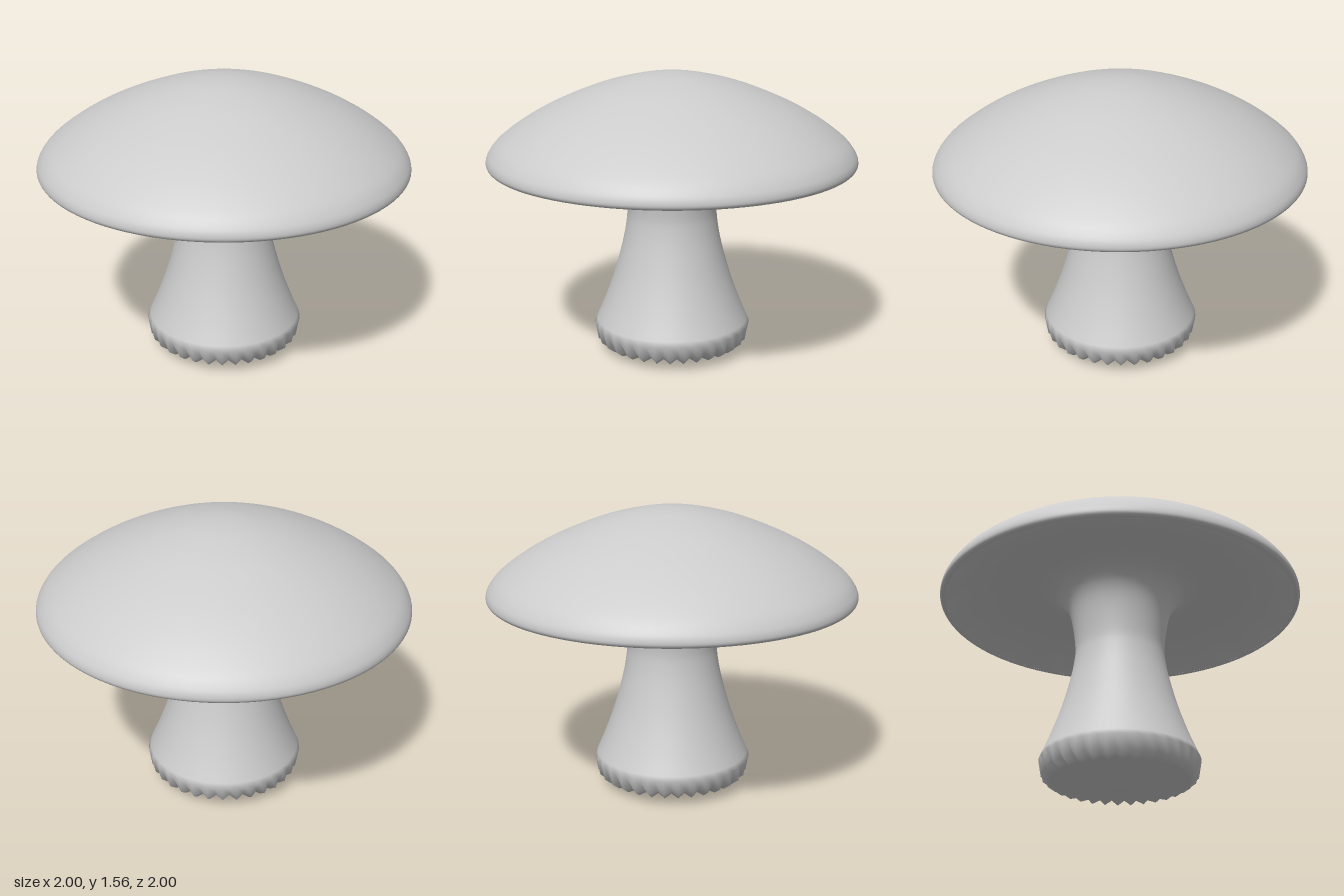
import * as THREE from 'three';
import { mergeVertices } from 'three/addons/utils/BufferGeometryUtils.js';

const PLEATS = 32;
const GILLS = 16;

// Smooth profile through a few [radius, height] points
function smoothProfile(pts, steps) {
  const curve = new THREE.SplineCurve(pts.map(p => new THREE.Vector2(...p)));
  return curve.getPoints(steps).map(p => p.setX(Math.max(0, p.x)));
}

// Revolve a profile, move its vertices by a rule, and smooth it across the seam
function revolve(name, profile, segments, rule = () => {}) {
  let geo = new THREE.LatheGeometry(profile, segments);
  geo.deleteAttribute('uv');
  geo.deleteAttribute('normal');
  const pos = geo.attributes.position;
  const v = new THREE.Vector3();
  for (let i = 0; i < pos.count; i++) {
    v.fromBufferAttribute(pos, i);
    rule(v, Math.hypot(v.x, v.z), Math.atan2(v.x, v.z));
    pos.setXYZ(i, v.x, v.y, v.z);
  }
  geo = mergeVertices(geo, 1e-4);
  geo.computeVertexNormals();
  const mat = new THREE.MeshStandardMaterial({ color: 0xcccccc, side: THREE.DoubleSide });
  const mesh = new THREE.Mesh(geo, mat);
  mesh.name = name;
  return mesh;
}

// Foot: every other spoke is pulled in and lifted, fading towards the centre
function pleat(v, r, a) {
  const fold = (0.5 - 0.5 * Math.cos(PLEATS * a)) * THREE.MathUtils.smoothstep(r, 0.08, 0.38);
  v.x *= 1 - 0.05 * fold;
  v.z *= 1 - 0.05 * fold;
  v.y += 0.022 * fold;
}

// Underside: broad soft waves of uneven strength
function ripple(v, r, a) {
  const fade = THREE.MathUtils.smoothstep(r, 0.36, 0.6) * (1 - THREE.MathUtils.smoothstep(r, 0.8, 0.97));
  const strength = 0.008 + 0.003 * Math.sin(5 * a);
  v.y += strength * fade * Math.cos(GILLS * a);
}

export function createModel() {
  const model = new THREE.Group();
  model.name = 'mushroom';

  // Domed cap with a tightly rounded rim
  const cap = smoothProfile([
    [0.965, 1.075], [0.985, 1.072], [0.999, 1.095], [0.985, 1.14], [0.93, 1.205], [0.8, 1.3],
    [0.63, 1.393], [0.4, 1.487], [0.2, 1.54], [0.08, 1.557], [0, 1.56],
  ], 60);
  model.add(revolve('cap', cap, 96));

  // Pleated foot, waisted stem and hollow underside in one continuous skin
  const foot = [[0, 0.002], [0.1, 0.01], [0.37, 0.042], [0.415, 0.075]]
    .map(p => new THREE.Vector2(...p));
  const stem = smoothProfile([
    [0.43, 0.16], [0.375, 0.29], [0.318, 0.45], [0.272, 0.62], [0.25, 0.74],
    [0.246, 0.83], [0.266, 0.98], [0.3, 1.08], [0.36, 1.15], [0.45, 1.187],
    [0.56, 1.197], [0.7, 1.18], [0.85, 1.135], [0.965, 1.075],
  ], 44);
  model.add(revolve('stemAndGills', [...foot, ...stem], PLEATS * 2, (v, r, a) => {
    if (v.y < 0.15) pleat(v, r, a);
    if (v.y > 1.079 && r > 0.36) ripple(v, r, a);
  }));

  return model;
}
